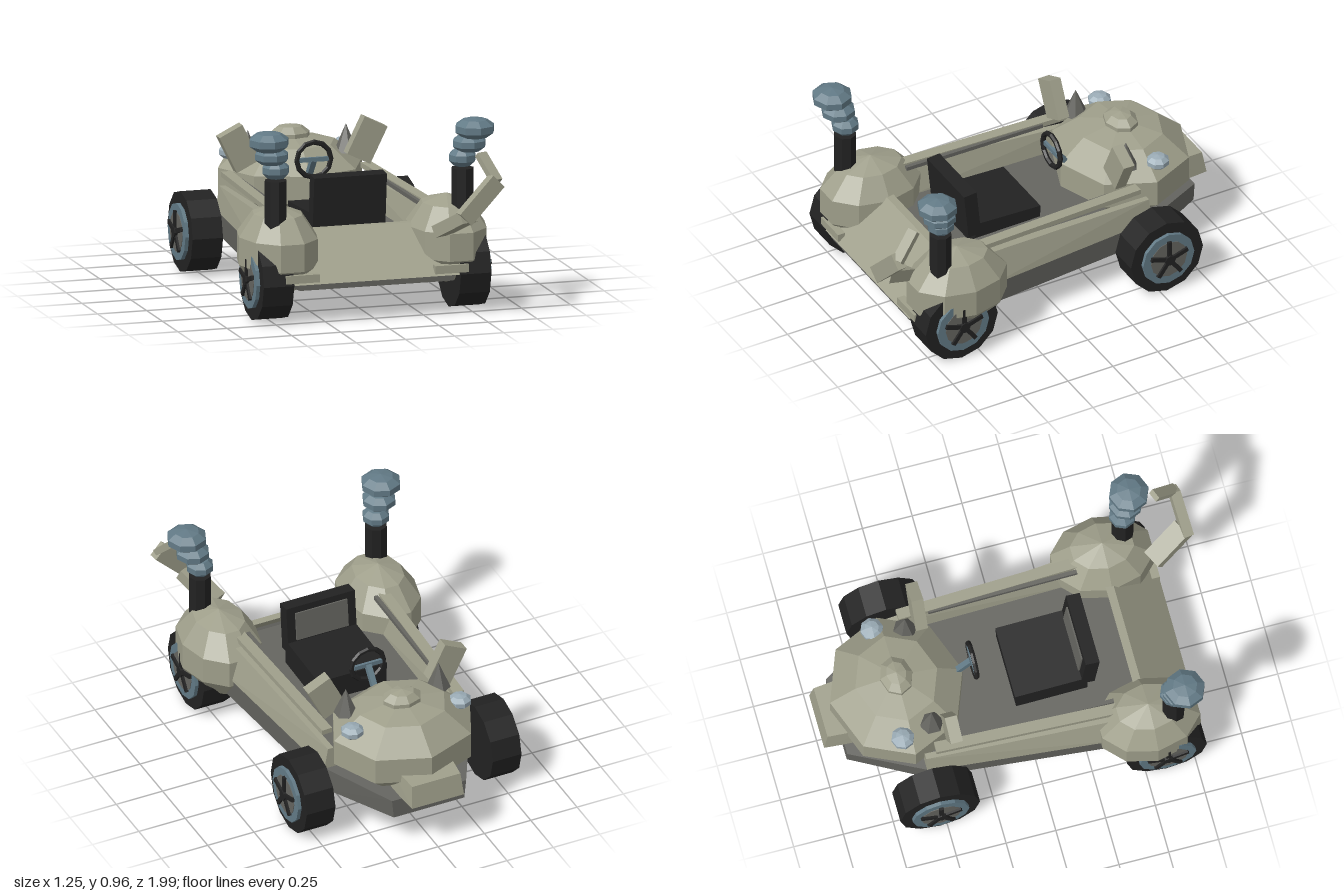
import * as THREE from 'three';
import { ConvexGeometry } from 'three/addons/geometries/ConvexGeometry.js';

const paint = (name, color) => {
  const m = new THREE.MeshStandardMaterial({ color, flatShading: true });
  m.name = name;
  return m;
};

export function createModel() {
  const tan = paint('khaki body', 0x9f9f8b);
  const grey = paint('dark grey chassis', 0x656560);
  const black = paint('black rubber', 0x222222);
  const blue = paint('blue grey metal', 0x627a86);
  const light = paint('pale glass', 0x9aabb5);
  const kart = new THREE.Group();
  kart.name = 'kart';

  const add = (name, geo, mat, pos = [0, 0, 0], rot = [0, 0, 0], parent = kart) => {
    const m = new THREE.Mesh(geo, mat);
    m.name = name;
    m.position.set(...pos);
    m.rotation.set(...rot);
    parent.add(m);
    return m;
  };
  const box = (w, h, d) => new THREE.BoxGeometry(w, h, d);
  const hull = (pts) => new ConvexGeometry(pts.map((p) => new THREE.Vector3(...p)));
  const blob = (rx, ry, rz, seg, rows = 5) => new THREE.SphereGeometry(1, seg, rows).scale(rx, ry, rz);
  // Rectangular bar running between two points
  const bar = (name, a, b, w, t, mat) => {
    const p = new THREE.Vector3(...a), q = new THREE.Vector3(...b);
    const m = add(name, box(w, t, p.distanceTo(q)), mat, p.clone().add(q).multiplyScalar(0.5).toArray());
    m.lookAt(q);
    return m;
  };

  // Chassis slab, widest just ahead of the fenders
  const half = [[0.40, 0.79], [0.48, 0.4], [0.39, -0.55], [0.2, -0.9]];
  const slab = [];
  for (const [x, z] of half) for (const s of [-1, 1]) {
    slab.push([s * (x - 0.01), 0.17, z], [s * x, z > 0.7 ? 0.2 : z < -0.8 ? 0.27 : 0.3, z]);
  }
  slab.push([-0.4, 0.3, 0.62], [0.4, 0.3, 0.62]);
  add('chassis', hull(slab), grey);

  // Sloping end panel and the lip under the dome
  add('endPanel', hull([-1, 1].flatMap((s) => [
    [s * 0.42, 0.2, 0.805], [s * 0.42, 0.2, 0.76], [s * 0.4, 0.42, 0.56], [s * 0.4, 0.42, 0.52],
  ])), tan);
  add('lip', hull([-1, 1].flatMap((s) => [
    [s * 0.14, 0.27, -1], [s * 0.13, 0.385, -0.98], [s * 0.16, 0.27, -0.75], [s * 0.15, 0.4, -0.75],
  ])), tan);

  // Faceted dome with its cap
  add('dome', blob(0.385, 0.22, 0.35, 8), tan, [0, 0.42, -0.6]);
  add('domeCap', blob(0.105, 0.06, 0.085, 8), tan, [0, 0.625, -0.6]);

  // Wheel, outer side towards +x
  const wheel = (name, x, z, s) => {
    const g = new THREE.Group();
    g.name = name;
    g.position.set(x * s, 0.2, z);
    if (s < 0) g.rotation.y = Math.PI;
    const disc = (n, r, w, cx, mat, seg) =>
      add(n, new THREE.CylinderGeometry(r, r, w, seg), mat, [cx, 0, 0], [0, 0, Math.PI / 2], g);
    disc('tire', 0.2, 0.155, 0, black, 12).rotation.x = Math.PI;
    disc('rim', 0.142, 0.06, 0.066, blue, 12);
    disc('rimCentre', 0.1, 0.006, 0.096, grey, 12);
    disc('hub', 0.028, 0.03, 0.1, black, 8);
    for (let i = 0; i < 5; i++) {
      const a = (i * 2 * Math.PI) / 5;
      add('spoke', box(0.016, 0.1, 0.022), black,
        [0.102, Math.cos(a) * 0.055, Math.sin(a) * 0.055], [a, 0, 0], g);
    }
    kart.add(g);
  };

  for (const s of [-1, 1]) {
    const side = s > 0 ? 'left' : 'right';
    wheel(side + 'FenderWheel', 0.502, 0.605, s);
    wheel(side + 'DomeWheel', 0.502, -0.535, s);

    // Side wall leaning inwards, with the rail above it
    add(side + 'Wall', hull([
      [s * 0.485, 0.295, 0.4], [s * 0.395, 0.295, -0.55], [s * 0.35, 0.295, 0.4], [s * 0.33, 0.295, -0.55],
      [s * 0.44, 0.455, 0.4], [s * 0.375, 0.41, -0.55], [s * 0.39, 0.455, 0.4], [s * 0.345, 0.41, -0.55],
    ]), tan);
    bar(side + 'Rail', [s * 0.355, 0.478, -0.5], [s * 0.39, 0.478, 0.42], 0.055, 0.026, tan);
    bar(side + 'InnerRail', [s * 0.335, 0.476, -0.35], [s * 0.345, 0.476, 0.4], 0.02, 0.02, grey);

    // Fender with its low bumper and exhaust
    add(side + 'Fender', blob(0.205, 0.222, 0.272, 10), tan, [s * 0.43, 0.333, 0.55]);
    add(side + 'Bumper', box(0.17, 0.04, 0.04), tan, [s * 0.38, 0.23, 0.785]);
    add(side + 'Exhaust', new THREE.CylinderGeometry(0.056, 0.056, 0.24, 8), black, [s * 0.475, 0.58, 0.665]);
    const puffs = [[0.475, 0.752, 0.665, 0.071, 0.05], [0.503, 0.826, 0.688, 0.088, 0.048], [0.524, 0.902, 0.71, 0.104, 0.054]];
    for (const [x, y, z, r, h] of puffs) add(side + 'Puff', blob(r, h, r, 8), blue, [s * x, y, z]);

    // Lamp, horn and tilted block on the dome
    add(side + 'Lamp', blob(0.06, 0.037, 0.06, 8), light, [s * 0.29, 0.555, -0.645]);
    add(side + 'Horn', new THREE.ConeGeometry(0.06, 0.14, 6), grey, [s * 0.25, 0.622, -0.49]);
    add(side + 'Block', box(0.13, 0.2, 0.06), tan, [s * 0.325, 0.625, -0.41], [0, 0, -s * 0.46]);
  }

  // Seat with inset back pad
  add('seatCushion', box(0.37, 0.13, 0.36), black, [0, 0.37, 0.13], [-0.04, 0, 0]);
  add('seatBack', box(0.37, 0.25, 0.07), black, [0, 0.505, 0.325], [0.1, 0, 0]);
  add('seatPad', box(0.28, 0.15, 0.008), grey, [0, 0.525, 0.288], [0.1, 0, 0]);

  // Steering wheel and column
  add('steeringWheel', new THREE.TorusGeometry(0.087, 0.013, 6, 12), black, [0, 0.585, -0.217]);
  add('steeringSpoke', box(0.15, 0.022, 0.014), blue, [0, 0.585, -0.22]);
  bar('steeringColumn', [0, 0.585, -0.222], [0, 0.49, -0.3], 0.028, 0.028, blue);

  // Jointed arm behind the left fender
  bar('armLower', [0.33, 0.42, 0.78], [0.415, 0.52, 0.955], 0.1, 0.06, tan);
  const middle = add('armMiddle', box(0.085, 0.25, 0.05), tan, [0.475, 0.6, 0.955], [0, 0.12, -0.78]);
  middle.rotation.order = 'YZX';
  bar('armUpper', [0.56, 0.685, 0.95], [0.515, 0.8, 0.835], 0.055, 0.03, tan);

  return kart;
}
